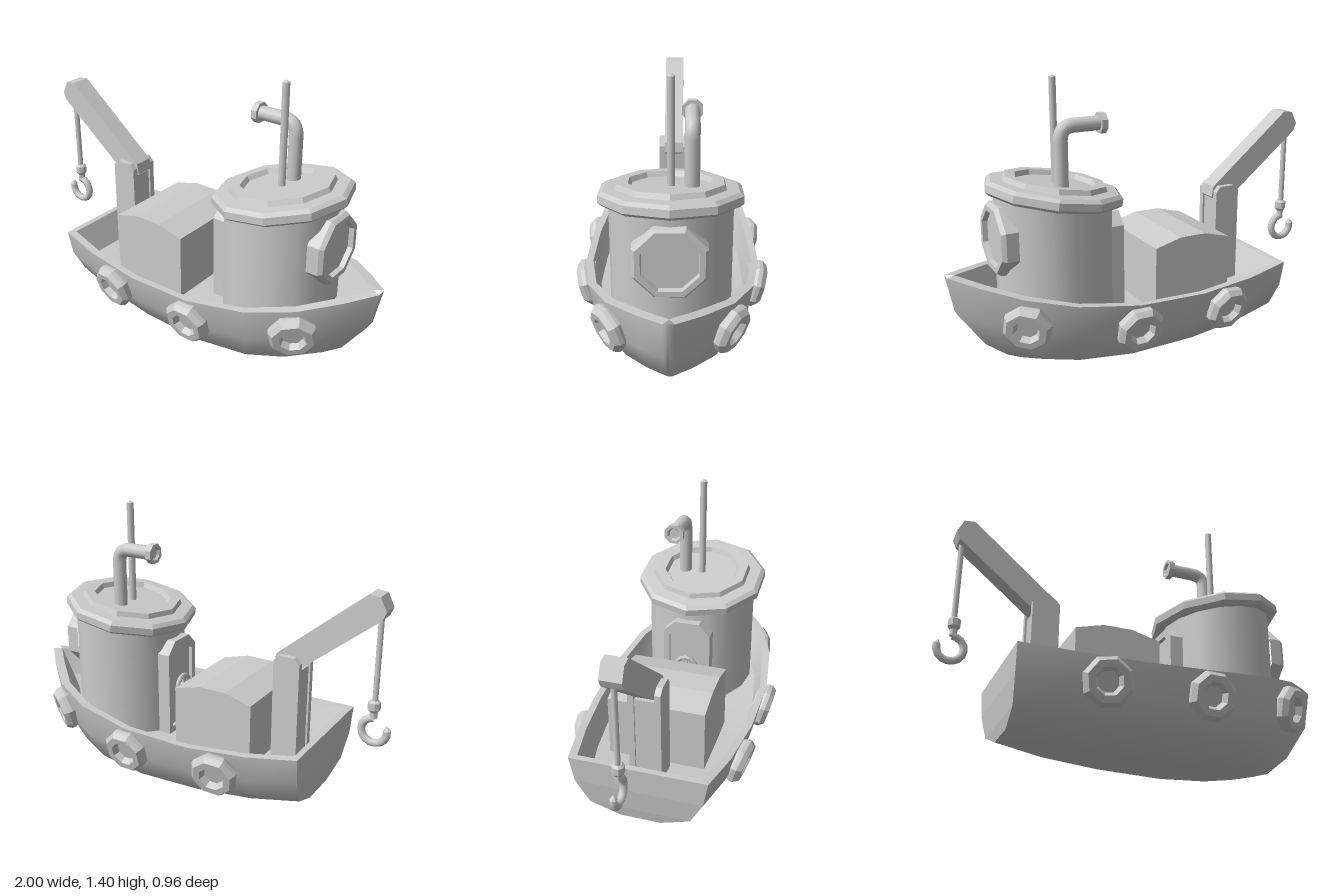
import * as THREE from 'three';
import { toCreasedNormals } from 'three/addons/utils/BufferGeometryUtils.js';

const smooth = new THREE.MeshStandardMaterial({ color: 0xcccccc });
const flat = new THREE.MeshStandardMaterial({ color: 0xcccccc, flatShading: true });
const V = (x, y, z) => new THREE.Vector3(x, y, z);
const flip = (p) => V(p.x, p.y, -p.z);

// Skin between successive rings of points
function loft(rings) {
  const n = rings[0].length, index = [];
  for (let i = 0; i < rings.length - 1; i++)
    for (let j = 0; j < n - 1; j++) {
      const a = i * n + j, c = a + n;
      index.push(a, a + 1, c, a + 1, c + 1, c);
    }
  const g = new THREE.BufferGeometry().setFromPoints(rings.flat());
  g.setIndex(index);
  g.computeVertexNormals();
  return g;
}

// Side outline extruded between two z values
function slab(points, z0, z1) {
  const shape = new THREE.Shape(points.map(([x, y]) => new THREE.Vector2(x, y)));
  return new THREE.ExtrudeGeometry(shape, { depth: z1 - z0, bevelEnabled: false }).translate(0, 0, z0);
}

const lathe = (points, sides) => new THREE.LatheGeometry(
  points.map(([r, y]) => new THREE.Vector2(r, y)), sides, Math.PI / sides);

export function createModel() {
  const boat = new THREE.Group();
  boat.name = 'workBoat';
  const add = (name, geometry, material = flat, parent = boat) => {
    const mesh = new THREE.Mesh(geometry, material);
    mesh.name = name;
    parent.add(mesh);
    return mesh;
  };

  // Hull stations: top x, y, half width, then keel x, y
  const stations = [
    [-0.69, 0.40, 0.34, -0.66, 0.08],
    [-0.45, 0.375, 0.39, -0.43, 0.04],
    [-0.15, 0.36, 0.425, -0.15, 0.015],
    [0.20, 0.37, 0.43, 0.18, 0.002],
    [0.50, 0.405, 0.385, 0.42, 0.01],
    [0.72, 0.445, 0.285, 0.56, 0.025],
    [0.88, 0.48, 0.145, 0.66, 0.04],
    [0.995, 0.51, 0.025, 0.72, 0.052],
  ];
  // Cross-section rows, top to keel: height, width and rake fractions
  const rows = [[1, 1, 1], [0.58, 0.93, 0.86], [0.19, 0.74, 0.4], [0, 0.3, 0]];
  const halves = stations.map(([xt, yt, zt, xb, yb]) => rows.map(([fy, fz, fx]) =>
    V(xb + (xt - xb) * fx, yb + (yt - yb) * fy, zt * fz)));
  const rings = halves.map((h) => [...h, ...h.map(flip).reverse()]);
  rings.push(rings[rings.length - 1].map((p) => V(p.x, p.y, 0)));
  add('hull', loft(rings), smooth);
  add('transom', loft(halves[0].map((p) => [p, flip(p)])));

  // Rim, inner bulwark and deck
  const inset = stations.map(([x, y, z]) => {
    const t = (x + 0.69) / 1.685;
    return [
      V(x, y, z),
      V(-0.66 + t * 1.615, y, Math.max(z - 0.035, 0)),
      V(-0.59 + t * 1.47, y - 0.14, Math.max(z - 0.07, 0)),
    ];
  });
  add('bulwarkAndDeck', toCreasedNormals(loft(inset.map((h) => [...h.map(flip), ...h.slice().reverse()])), 0.5), smooth);
  add('sternBulwark', loft(inset[0].map((p) => [flip(p), p])));

  // Fender rings, three per side, facing out along the hull
  const fender = lathe([[0.095, -0.05], [0.119, 0], [0.119, 0.02], [0.1, 0.045],
    [0.066, 0.045], [0.05, 0.015], [0, 0.015]], 8);
  for (const side of [1, -1])
    for (const [x, y, z, yaw] of [[-0.295, 0.25, 0.395, -0.13], [0.2, 0.25, 0.41, 0.02], [0.7, 0.305, 0.268, 0.6]]) {
      const m = add(side > 0 ? 'leftFender' : 'rightFender', fender);
      m.position.set(x, y, z * side);
      m.quaternion.setFromUnitVectors(V(0, 1, 0), V(Math.sin(yaw), -0.27, Math.cos(yaw) * side).normalize());
    }

  // Wheelhouse, its top cut to the slope of the roof
  const cx = 0.455, slope = 0.16;
  const wall = new THREE.CylinderGeometry(0.285, 0.285, 1, 16, 1, true);
  const pos = wall.attributes.position;
  for (let i = 0; i < pos.count; i++) {
    const x = pos.getX(i);
    pos.setXYZ(i, x + cx, pos.getY(i) > 0 ? 0.83 + x * slope : 0.22, pos.getZ(i));
  }
  add('wheelhouseWall', wall, smooth);
  const roof = add('wheelhouseRoof', lathe([[0, 0], [0.32, 0], [0.34, 0.015], [0.34, 0.05], [0.32, 0.066],
    [0.26, 0.07], [0.25, 0.094], [0.2, 0.094], [0.188, 0.07], [0, 0.07]], 10));
  roof.position.set(cx, 0.818, 0);
  roof.rotation.z = Math.atan(slope);

  // Front window
  const win = add('frontWindow', lathe([[0.18, 0], [0.18, 0.06], [0.165, 0.08],
    [0.138, 0.08], [0.134, 0.055], [0, 0.055]], 8));
  win.rotation.z = -Math.PI / 2;
  win.position.set(0.69, 0.657, 0);

  // Door with frame, facing aft
  const doorShape = (w, y0, y1, cut) => [[-w, y0], [w, y0], [w, y1 - cut], [w - cut, y1], [cut - w, y1], [-w, y1 - cut]];
  const frame = new THREE.Shape(doorShape(0.125, 0.22, 0.725, 0.06).map((p) => new THREE.Vector2(...p)));
  frame.holes.push(new THREE.Path(doorShape(0.095, 0.26, 0.69, 0.045).reverse().map((p) => new THREE.Vector2(...p))));
  const door = new THREE.Group();
  door.name = 'door';
  door.rotation.y = -Math.PI / 2;
  door.position.x = 0.215;
  boat.add(door);
  add('doorFrame', new THREE.ExtrudeGeometry(frame, { depth: 0.08, bevelEnabled: false }), flat, door);
  add('doorPanel', slab(doorShape(0.1, 0.25, 0.695, 0.045), 0, 0.06), flat, door);
  add('doorWheel', new THREE.TorusGeometry(0.055, 0.012, 6, 12).translate(0, 0.465, 0.085), smooth, door);
  add('doorWheelHub', new THREE.CylinderGeometry(0.015, 0.015, 0.05, 8).rotateX(Math.PI / 2).translate(0, 0.465, 0.075), flat, door);
  for (const a of [0, Math.PI / 2])
    add('doorWheelSpoke', new THREE.BoxGeometry(0.11, 0.012, 0.012).rotateZ(a).translate(0, 0.465, 0.085), flat, door);

  // Mast and bent exhaust pipe
  add('mast', new THREE.CylinderGeometry(0.018, 0.018, 0.52, 8).translate(0.44, 1.135, 0), smooth);
  add('mastTip', new THREE.ConeGeometry(0.018, 0.01, 8).translate(0.44, 1.4, 0));
  const bend = new THREE.CurvePath();
  bend.add(new THREE.LineCurve3(V(0.447, 0.86, -0.095), V(0.447, 1.11, -0.095)));
  bend.add(new THREE.QuadraticBezierCurve3(V(0.447, 1.11, -0.095), V(0.447, 1.178, -0.095), V(0.38, 1.178, -0.095)));
  bend.add(new THREE.LineCurve3(V(0.38, 1.178, -0.095), V(0.24, 1.178, -0.095)));
  add('exhaustPipe', new THREE.TubeGeometry(bend, 28, 0.035, 10), smooth);
  const flange = add('exhaustFlange', lathe([[0.025, 0.015], [0.035, 0], [0.052, 0], [0.052, 0.03], [0.03, 0.03]].reverse()
    .map(([r, y]) => [r, 0.03 - y]), 8));
  flange.rotation.z = Math.PI / 2;
  flange.position.set(0.253, 1.178, -0.095);
  add('exhaustMouth', new THREE.CylinderGeometry(0.036, 0.036, 0.01, 8).rotateZ(Math.PI / 2).translate(0.24, 1.178, -0.095));

  // Cargo housing with cambered top
  add('cargoHousing', slab([[-0.4, 0.2], [0.02, 0.2], [0.02, 0.56], [-0.12, 0.597], [-0.26, 0.597], [-0.4, 0.56]], -0.245, 0.245));

  // Crane post: solid core between two cheeks
  add('cranePost', slab([[-0.555, 0.2], [-0.44, 0.2], [-0.44, 0.7], [-0.555, 0.7]], -0.06, 0.06));
  for (const z of [-0.08, 0.05])
    add('craneCheek', slab([[-0.565, 0.2], [-0.43, 0.2], [-0.43, 0.745], [-0.455, 0.772], [-0.535, 0.772], [-0.565, 0.745]], z, z + 0.03));

  // Crane arm, cable and hook
  add('craneArm', slab([[-0.555, 0.715], [-0.455, 0.69], [-0.42, 0.715], [-0.43, 0.77], [-0.868, 1.13],
    [-0.92, 1.125], [-0.952, 1.06], [-0.935, 1.02]], -0.05, 0.05));
  add('cable', new THREE.CylinderGeometry(0.014, 0.014, 0.45, 8).translate(-0.915, 0.83, 0), smooth);
  add('hookBlock', lathe([[0, 0.53], [0.018, 0.53], [0.018, 0.56], [0.03, 0.575], [0.03, 0.61], [0.018, 0.62], [0, 0.62]], 8)
    .translate(-0.912, 0, 0));
  const hook = new THREE.TorusGeometry(0.063, 0.019, 8, 12, 4.9).rotateZ(2.95);
  add('hook', hook.translate(-0.92, 0.467, 0), smooth);
  const tip = add('hookTip', new THREE.ConeGeometry(0.019, 0.025, 8));
  tip.position.set(-0.92 + 0.063 * Math.cos(2.95) + 0.003, 0.467 + 0.063 * Math.sin(2.95) + 0.012, 0);
  tip.rotation.z = -0.2;

  return boat;
}
